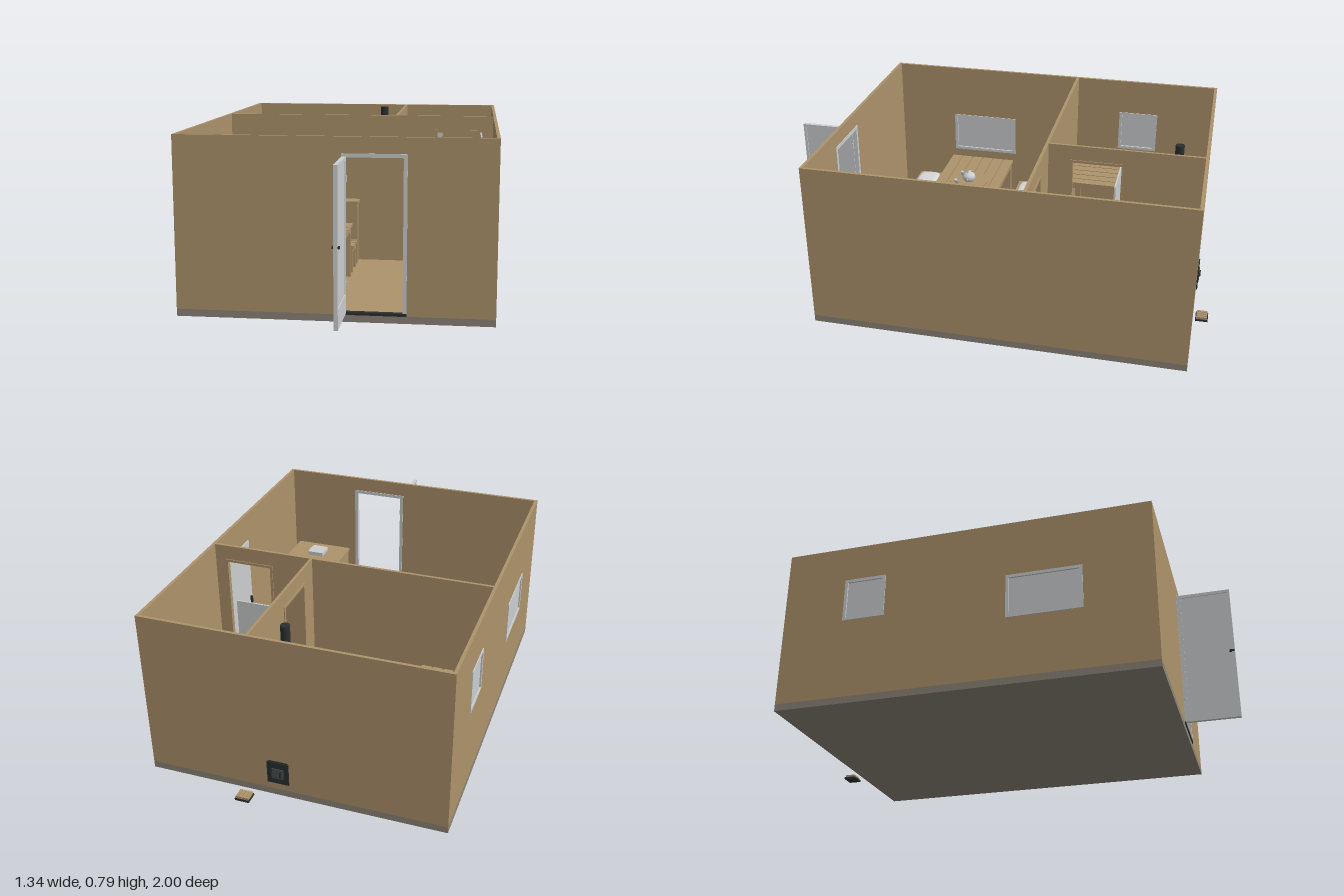
import * as THREE from 'three';

const mat = (name, color, side = THREE.FrontSide) => {
  const m = new THREE.MeshStandardMaterial({ color, side });
  m.name = name;
  return m;
};

export function createModel() {
  const root = new THREE.Group();
  root.name = 'cabin';
  const wood = mat('wood', 0xad936b);
  const concrete = mat('concrete', 0x8c8478);
  const light = mat('lightGrey', 0xcbcecf);
  const cushionMat = mat('cushionWhite', 0xd6d8d8);
  const black = mat('black', 0x2b2f30);
  const stone = mat('stone', 0x4a4f50);

  const add = (name, geo, m, parent = root) => {
    const mesh = new THREE.Mesh(geo, m);
    mesh.name = name;
    parent.add(mesh);
    return mesh;
  };
  const group = (name, parent = root) => {
    const g = new THREE.Group();
    g.name = name;
    parent.add(g);
    return g;
  };
  // Box given by its minimum and maximum corners
  const box = (name, m, x0, x1, y0, y1, z0, z1, parent) => {
    const mesh = add(name, new THREE.BoxGeometry(x1 - x0, y1 - y0, z1 - z0), m, parent);
    mesh.position.set((x0 + x1) / 2, (y0 + y1) / 2, (z0 + z1) / 2);
    return mesh;
  };

  const X = 0.668, Z0 = -0.932, Z1 = 0.745, T = 0.014;
  const BASE = 0.053, FLOOR = 0.06, TOP = 0.793, HEAD = 0.725;

  // Slab and floors
  box('slab', concrete, -X, X, 0.022, BASE, Z0, Z1);
  box('woodFloor', wood, -X + T, X - T, BASE, FLOOR - 0.002, Z0 + T, Z1 - T);
  box('washRoomFloor', light, 0.187, X - T, FLOOR - 0.002, FLOOR, Z0 + T, -0.232);

  // Flat panel with rectangular holes [u0, u1, y0, y1]; along x, or along z when alongZ is set
  const panel = (name, m, r, holes, at, depth, alongZ, parent) => {
    const path = (P, [a, b, c, d]) => {
      const p = new P();
      p.moveTo(a, c); p.lineTo(b, c); p.lineTo(b, d); p.lineTo(a, d); p.closePath();
      return p;
    };
    const shape = path(THREE.Shape, r);
    shape.holes = holes.map((h) => path(THREE.Path, h));
    const mesh = add(name, new THREE.ExtrudeGeometry(shape, { depth, bevelEnabled: false }), m, parent);
    if (alongZ) {
      mesh.rotation.y = -Math.PI / 2;
      mesh.position.x = at + depth;
    } else mesh.position.z = at;
    return mesh;
  };

  // Walls and partitions
  const frontDoor = [0.035, 0.303, FLOOR, HEAD];
  const midDoor = [0.37, 0.605, FLOOR, HEAD];
  const saunaDoor = [-0.565, -0.33, FLOOR, HEAD];
  const windows = [[-0.645, -0.45, 0.42, 0.623], [0.105, 0.44, 0.327, 0.53]];
  panel('frontWall', wood, [-X, X, BASE, TOP], [frontDoor], Z1 - T, T);
  panel('backWall', wood, [-X, X, BASE, TOP], [], Z0, T);
  panel('leftSideWall', wood, [Z0 + T, Z1 - T, BASE, TOP], [], X - T, T, true);
  panel('rightSideWall', wood, [Z0 + T, Z1 - T, BASE, TOP], windows, -X, T, true);
  panel('crossPartition', wood, [-X + T, X - T, BASE, TOP], [midDoor], -0.231, T);
  panel('saunaPartition', wood, [Z0 + T, -0.231, BASE, TOP], [saunaDoor], 0.174, 0.012, true);

  // Frames around the openings
  const inset = ([a, b, c, d], w, wb = w) => [a + w, b - w, c + wb, d - w];
  panel('frontDoorFrame', light, frontDoor, [inset(frontDoor, 0.016, 0.003)], Z1 - T - 0.003, T + 0.006);
  box('threshold', black, 0.035, 0.303, BASE, FLOOR + 0.005, Z1 - T - 0.004, Z1 + 0.004);
  panel('middleDoorFrame', wood, midDoor, [inset(midDoor, 0.012, 0.002)], -0.235, T + 0.008);
  panel('saunaDoorFrame', wood, saunaDoor, [inset(saunaDoor, 0.012, 0.002)], 0.17, 0.02, true);
  for (const w of windows) {
    const g = group('window');
    panel('windowFrame', light, w, [inset(w, 0.014)], -X - 0.004, T + 0.008, true, g);
    panel('windowPane', light, inset(w, 0.014), [], -X + 0.003, 0.006, true, g);
  }

  // Open front door: frame, recessed panel, handle, hinges
  const fd = group('frontDoor');
  const leaf = [Z1 + 0.003, 0.997, 0.062, 0.713];
  const field = [0.765, 0.984, 0.145, 0.698];
  panel('doorLeaf', light, leaf, [field], 0.037, 0.017, true, fd);
  panel('doorPanel', light, field, [], 0.0415, 0.008, true, fd);
  box('doorHandle', black, 0.03, 0.061, 0.387, 0.395, 0.972, 0.995, fd);
  for (const y of [0.17, 0.61]) box('hinge', light, 0.034, 0.058, y, y + 0.025, 0.746, 0.756, fd);

  // Open inner doors
  const sd = group('saunaDoor');
  box('doorLeaf', light, 0.187, 0.395, 0.066, 0.715, -0.56, -0.553, sd);
  box('doorHandle', black, 0.376, 0.383, 0.36, 0.42, -0.57, -0.543, sd);
  const md = group('middleDoor');
  box('doorLeaf', light, 0.594, 0.601, 0.066, 0.715, -0.216, 0, md);
  box('doorHandle', black, 0.583, 0.612, 0.36, 0.42, -0.022, -0.015, md);

  // Slatted top on legs; slats run along x, or along z when alongZ is set
  const slatted = (name, x0, x1, z0, z1, top, n, alongZ = false, leg = 0.022) => {
    const g = group(name);
    const gap = 0.005, th = 0.013;
    const [a, b] = alongZ ? [x0, x1] : [z0, z1];
    const w = (b - a - gap * (n - 1)) / n;
    for (let i = 0; i < n; i++) {
      const s = a + i * (w + gap);
      if (alongZ) box('slat', wood, s, s + w, top - th, top, z0, z1, g);
      else box('slat', wood, x0, x1, top - th, top, s, s + w, g);
    }
    const low = top - th - 0.022, i = 0.006;
    for (const x of [x0 + i, x1 - i - leg]) {
      box('rail', wood, x, x + leg, low, top - th, z0 + i, z1 - i, g);
      for (const z of [z0 + i, z1 - i - leg]) box('leg', wood, x, x + leg, FLOOR - 0.002, low, z, z + leg, g);
    }
    for (const z of [z0 + i, z1 - i - leg])
      box('apron', wood, x0 + i + leg, x1 - i - leg, low, top - th, z, z + leg, g);
    return g;
  };

  // Lounge: table, two benches with cushions, console
  slatted('table', -0.603, 0, 0.107, 0.44, 0.31, 6, false, 0.03);
  slatted('console', -0.605, 0, -0.193, -0.115, 0.375, 1);
  const soft = (v) => Math.sign(v) * Math.pow(Math.abs(v), 0.5);
  const cushionGeo = new THREE.SphereGeometry(1, 28, 16);
  const cp = cushionGeo.attributes.position;
  for (let i = 0; i < cp.count; i++)
    cp.setXYZ(i, soft(cp.getX(i)) * 0.075, soft(cp.getY(i)) * 0.016, soft(cp.getZ(i)) * 0.054);
  cushionGeo.computeVertexNormals();
  for (const z of [-0.005, 0.553]) {
    slatted('bench', -0.603, 0, z - 0.074, z + 0.074, 0.19, 5);
    for (const x of [-0.483, -0.125]) add('cushion', cushionGeo, cushionMat).position.set(x, 0.205, z);
  }

  // Tea set on a round tray
  const tea = group('teaSet');
  tea.position.set(-0.303, 0.31, 0.273);
  add('tray', new THREE.CylinderGeometry(0.095, 0.095, 0.008, 40), wood, tea).position.y = 0.004;
  const lathe = (pts) => new THREE.LatheGeometry(pts.map((p) => new THREE.Vector2(...p)), 24);
  add('teapot', lathe([[0, 0.008], [0.024, 0.008], [0.034, 0.025], [0.03, 0.042], [0.016, 0.05],
    [0.006, 0.052], [0.007, 0.06], [0, 0.062]]), light, tea);
  const spout = new THREE.CatmullRomCurve3([[0.028, 0.022, 0], [0.045, 0.03, 0], [0.055, 0.048, 0]]
    .map((p) => new THREE.Vector3(...p)));
  add('spout', new THREE.TubeGeometry(spout, 8, 0.005, 8), light, tea);
  add('teapotHandle', new THREE.TorusGeometry(0.015, 0.003, 8, 20), light, tea).position.set(-0.035, 0.03, 0);
  const cupGeo = lathe([[0, 0.008], [0.008, 0.008], [0.014, 0.028], [0.012, 0.028], [0.007, 0.012], [0, 0.012]]);
  for (const [x, z] of [[-0.052, 0.045], [0.045, 0.053]]) add('cup', cupGeo, light, tea).position.set(x, 0, z);

  // Corner cabinet with a basin block
  box('cabinet', wood, 0.345, 0.625, FLOOR - 0.002, 0.358, 0.535, Z1 - T);
  box('cabinetTop', wood, 0.338, 0.632, 0.358, 0.372, 0.527, Z1 - T);
  box('towelStack', light, 0.443, 0.527, 0.372, 0.392, 0.585, 0.668);

  // Wash room benches with folded towels
  slatted('washTable', 0.27, 0.565, -0.917, -0.8, 0.3, 4);
  box('foldedTowel', light, 0.422, 0.506, 0.3, 0.325, -0.897, -0.82);
  slatted('washBench', 0.54, 0.653, -0.715, -0.383, 0.2, 4, true);
  box('foldedTowel', light, 0.58, 0.648, 0.2, 0.225, -0.587, -0.51);

  // Sauna benches: upper L and lower steps
  slatted('upperBackBench', -0.653, -0.255, -0.917, -0.683, 0.34, 8);
  slatted('upperSideBench', -0.653, -0.353, -0.68, -0.234, 0.34, 6, true);
  slatted('backStep', -0.35, -0.255, -0.68, -0.585, 0.2, 3);
  slatted('frontStep', -0.35, -0.068, -0.36, -0.234, 0.2, 4);

  // Stove with stones, flue and fire door through the back wall
  const stove = group('stove');
  box('stoveBody', black, -0.01, 0.145, FLOOR - 0.002, 0.28, -0.87, -0.73, stove);
  panel('stoveRim', black, [-0.012, 0.147, 0.73, 0.872], [[0.005, 0.13, 0.745, 0.857]], 0, 0.02, false, stove)
    .rotation.x = -Math.PI / 2;
  stove.children[1].position.y = 0.28;
  box('fireTunnel', black, 0.027, 0.112, 0.09, 0.2, Z0 - 0.002, -0.87, stove);
  box('firePlate', black, 0.023, 0.12, 0.088, 0.196, Z0 - 0.006, Z0, stove);
  box('fireDoor', stone, 0.045, 0.098, 0.115, 0.165, Z0 - 0.009, Z0 - 0.005, stove);
  box('fireDoorHandle', black, 0.055, 0.062, 0.125, 0.155, Z0 - 0.014, Z0 - 0.008, stove);
  const rock = new THREE.IcosahedronGeometry(0.014, 0);
  for (let i = 0; i < 5; i++) for (let j = 0; j < 5; j++) {
    const r = add('stone', rock, (i + j) % 2 ? stone : black, stove);
    r.position.set(0.018 + i * 0.025, 0.288 + ((i * 3 + j * 2) % 4) * 0.003, -0.846 + j * 0.023);
    r.rotation.set(i * 1.3, j * 2.1, i + j);
  }
  add('flue', new THREE.CylinderGeometry(0.02, 0.02, 0.51, 24), black, stove).position.set(0.067, 0.535, -0.8);

  // Small outdoor step behind the cabin
  const step = group('outdoorStep');
  box('stepBase', black, 0.185, 0.25, 0, 0.009, -1, -0.943, step);
  for (let i = 0; i < 4; i++)
    box('stepSlat', wood, 0.188 + i * 0.0155, 0.2 + i * 0.0155, 0.009, 0.02, -0.996, -0.947, step);

  return root;
}
